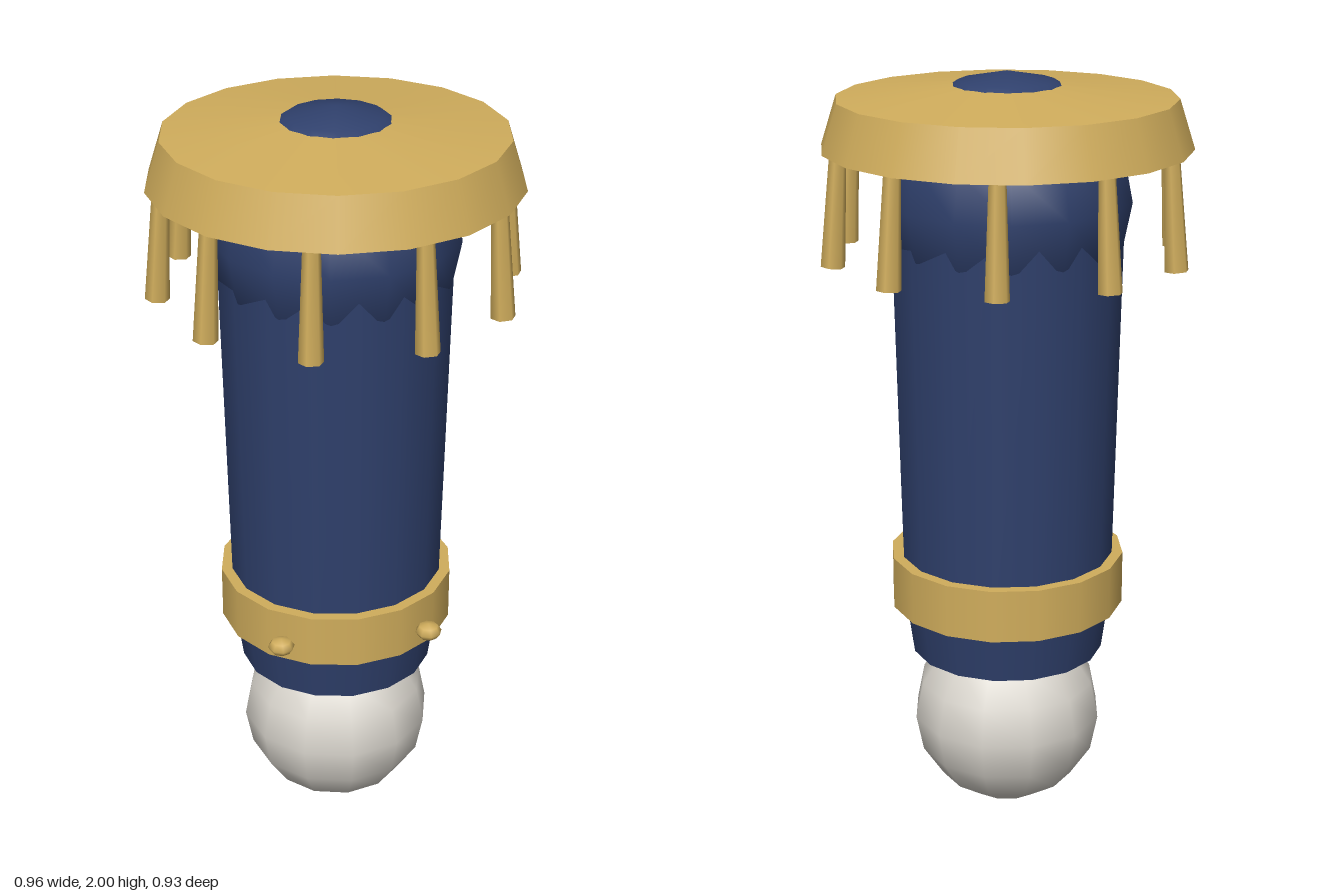
import * as THREE from 'three';

const gold = new THREE.MeshStandardMaterial({ color: 0xd0ad5c });
gold.name = 'gold trim';
const navy = new THREE.MeshStandardMaterial({ color: 0x2f406c });
navy.name = 'navy cloth';
const glove = new THREE.MeshStandardMaterial({ color: 0xd8d4cc });
glove.name = 'glove white';

export function createModel() {
  const group = new THREE.Group();
  group.name = 'uniformArm';

  const add = (name, geometry, material, x, y, z) => {
    const mesh = new THREE.Mesh(geometry, material);
    mesh.name = name;
    mesh.position.set(x, y, z);
    group.add(mesh);
    return mesh;
  };
  // Tapered cylinder between two heights, with a corner on the x axis
  const tube = (name, material, rTop, rBottom, yTop, yBottom, sides, open = false) =>
    add(name,
      new THREE.CylinderGeometry(rTop, rBottom, yTop - yBottom, sides, 1, open).rotateY(Math.PI / 2),
      material, 0, (yTop + yBottom) / 2, 0);

  // Hand, sleeve and shoulder
  add('hand', new THREE.SphereGeometry(0.255, 12, 8), glove, 0, 0.257, 0);
  tube('sleeveEnd', navy, 0.279, 0.256, 0.62, 0.455, 16);
  tube('sleeve', navy, 0.3, 0.279, 1.68, 0.62, 16);
  add('shoulder', new THREE.SphereGeometry(0.32, 14, 8), navy, 0, 1.68, 0);

  // Cuff band with two flattened buttons
  tube('cuff', gold, 0.31, 0.31, 0.73, 0.59, 16);
  for (const side of [-1, 1]) {
    add('cuffButton', new THREE.SphereGeometry(0.035, 8, 4).scale(1, 0.62, 1), gold, side * 0.195, 0.65, 0.275);
  }

  // Epaulette: sloped rim with a shallow cone on top
  tube('epauletteRim', gold, 0.43, 0.47, 1.935, 1.81, 18);
  tube('epauletteTop', gold, 0, 0.43, 1.98, 1.935, 18, true);

  // Fringe rods hang from the rim and lean outward
  const fringe = new THREE.CylinderGeometry(0.021, 0.031, 0.3, 6).rotateY(Math.PI / 2);
  for (let i = 0; i < 10; i++) {
    const a = (i * Math.PI * 2) / 10;
    const c = Math.cos(a), s = Math.sin(a);
    const rod = add('fringe', fringe, gold, c * 0.439, 1.68, s * 0.439);
    rod.quaternion.setFromAxisAngle(new THREE.Vector3(-s, 0, c), 0.07);
  }

  return group;
}
